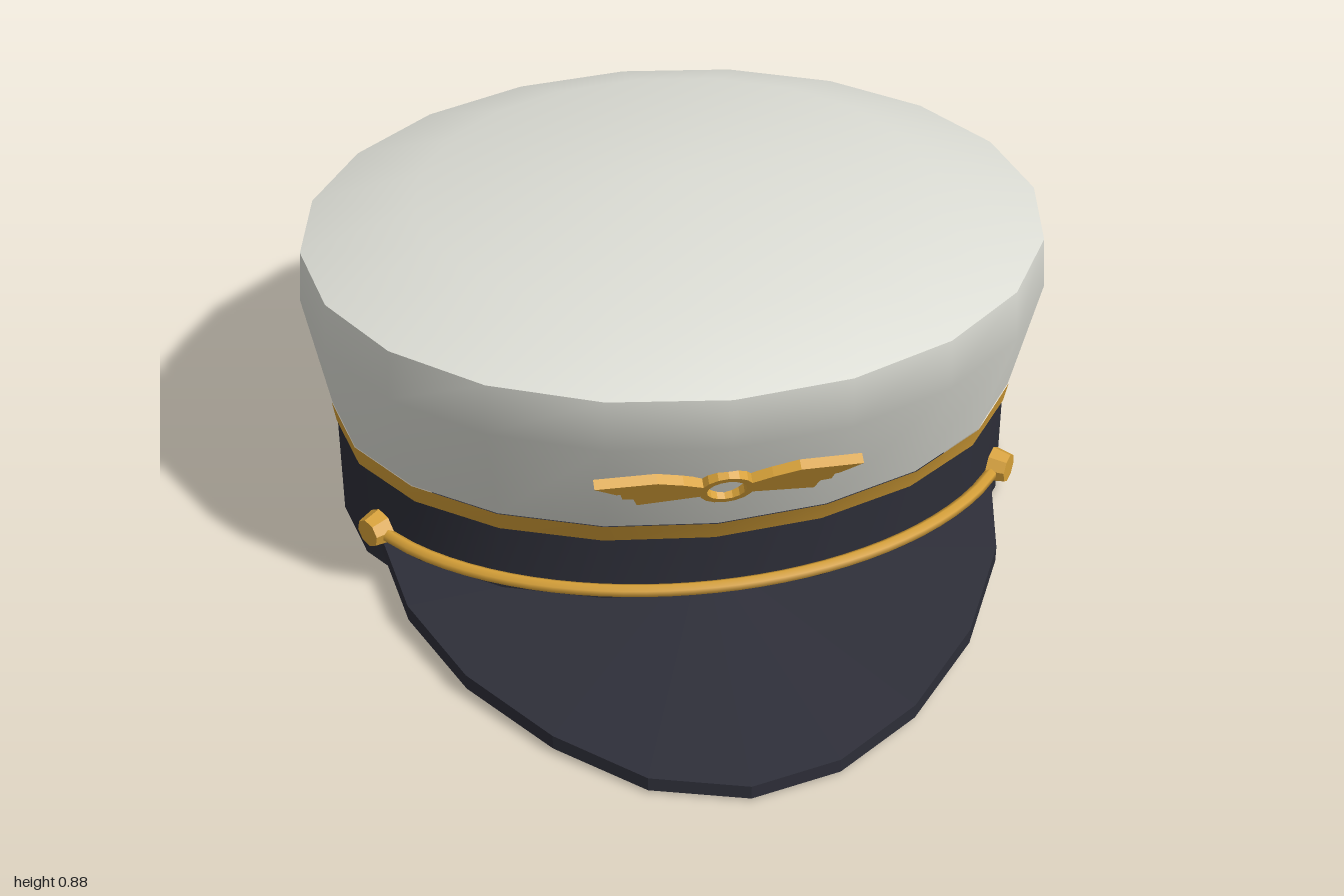
import * as THREE from 'three';

const SIDES = 20;
const CZ = -0.19; // centre of the oval head opening

// Smooth oval loft; each ring is [rx, rz, y, slope], slope tilting it up toward the front.
// An optional apex height closes the top.
function loft(rings, apex) {
  const pos = [], idx = [];
  for (const [rx, rz, y, slope] of rings) {
    for (let i = 0; i < SIDES; i++) {
      const a = (i / SIDES) * Math.PI * 2;
      const z = rz * Math.cos(a);
      pos.push(rx * Math.sin(a), y + slope * z, CZ + z);
    }
  }
  const last = (rings.length - 1) * SIDES;
  for (let k = 0; k < last; k += SIDES) {
    for (let i = 0; i < SIDES; i++) {
      const j = (i + 1) % SIDES;
      idx.push(k + i, k + j, k + SIDES + j, k + i, k + SIDES + j, k + SIDES + i);
    }
  }
  if (apex !== undefined) {
    pos.push(0, apex, CZ);
    for (let i = 0; i < SIDES; i++) idx.push(last + i, last + (i + 1) % SIDES, last + SIDES);
  }
  const g = new THREE.BufferGeometry();
  g.setAttribute('position', new THREE.Float32BufferAttribute(pos, 3));
  g.setIndex(idx);
  g.computeVertexNormals();
  return g;
}

// Thin domed plate, rising from its rim to the middle
function visorGeometry() {
  const outline = [
    [0.6, -0.1], [0.75, 0.06], [0.7, 0.32], [0.57, 0.59], [0.39, 0.81], [0.19, 0.95], [-0.02, 1],
    [-0.24, 0.94], [-0.43, 0.78], [-0.6, 0.56], [-0.71, 0.31], [-0.75, 0.06], [-0.6, -0.1],
  ];
  const top = outline.map(([x, z]) => [x, 0.04 + (1 - z) * 0.055, z]);
  const low = outline.map(([x, z]) => [x, 0.005 + (1 - z) * 0.045, z]);
  const topMid = [0, 0.115, 0.25], lowMid = [0, 0.04, 0.25];
  const pos = [];
  const tri = (...corners) => corners.forEach((c) => pos.push(...c));
  for (let i = 0; i < outline.length; i++) {
    const j = (i + 1) % outline.length;
    tri(topMid, top[j], top[i]);
    tri(lowMid, low[i], low[j]);
    tri(top[i], top[j], low[i]);
    tri(top[j], low[j], low[i]);
  }
  const g = new THREE.BufferGeometry();
  g.setAttribute('position', new THREE.Float32BufferAttribute(pos, 3));
  g.computeVertexNormals();
  return g;
}

// Winged ring badge, with a round hole
function badgeGeometry() {
  const wing = [
    [0.05, 0.025], [0.1, 0.05], [0.16, 0.073], [0.3, 0.075], [0.25, 0.036],
    [0.24, 0.034], [0.235, 0.01], [0.21, 0.004], [0.2, -0.03], [0.1, -0.022], [0.05, -0.018],
  ];
  const ring = new THREE.Shape();
  ring.absarc(0, 0, 0.062, 0, Math.PI * 2, false);
  const hole = new THREE.Path();
  hole.absarc(0, 0, 0.045, 0, Math.PI * 2, true);
  ring.holes.push(hole);
  const shapes = [ring];
  for (const s of [1, -1]) {
    shapes.push(new THREE.Shape(wing.map(([x, y]) => new THREE.Vector2(s * x, y))));
  }
  const g = new THREE.ExtrudeGeometry(shapes, { depth: 0.025, bevelEnabled: false, curveSegments: 8 });
  return g.translate(0, 0, -0.015);
}

export function createModel() {
  const group = new THREE.Group();
  const material = (name, color) => {
    const m = new THREE.MeshStandardMaterial({ color });
    m.name = name;
    return m;
  };
  const white = material('offWhiteCloth', 0xdedfd7);
  const navy = material('darkNavy', 0x2d2e38);
  const gold = material('gold', 0xd6a038);
  const add = (name, geometry, mat) => {
    const mesh = new THREE.Mesh(geometry, mat);
    mesh.name = name;
    group.add(mesh);
    return mesh;
  };

  // Head band and its flat underside
  add('headBand', loft([[0.825, 0.595, 0, 0], [0.825, 0.595, 0.27, 0]]), navy);
  const base = new THREE.CircleGeometry(1, SIDES).rotateX(Math.PI / 2);
  add('underside', base.scale(0.825, 1, 0.595).translate(0, 0, CZ), navy);

  // Gold trim, flared crown and domed top
  const trimTop = [0.836, 0.635, 0.322, 0.022];
  add('goldTrim', loft([[0.828, 0.598, 0.268, 0], trimTop]), gold);
  add('crownSide', loft([
    [0.834, 0.632, 0.322, 0.022],
    [0.89, 0.813, 0.627, 0.067],
    [0.88, 0.813, 0.757, 0.067],
  ]), white);
  add('crownTop', loft([[0.88, 0.813, 0.757, 0.067], [0.61, 0.58, 0.847, 0.065]], 0.885), white);

  add('visor', visorGeometry(), navy);

  // Chin strap around the front, ending at two side buttons
  const strapPoints = [];
  const end = 1.11;
  for (let i = 0; i <= 12; i++) {
    const a = -end + (i / 12) * 2 * end;
    strapPoints.push(new THREE.Vector3(0.845 * Math.sin(a), 0.135, CZ + 0.615 * Math.cos(a)));
  }
  const strapPath = new THREE.CatmullRomCurve3(strapPoints);
  add('chinStrap', new THREE.TubeGeometry(strapPath, 32, 0.016, 6), gold);

  const outward = new THREE.Vector3();
  for (const s of [1, -1]) {
    const button = add(s > 0 ? 'leftButton' : 'rightButton',
      new THREE.CylinderGeometry(0.036, 0.045, 0.045, 8).toNonIndexed(), gold);
    button.geometry.computeVertexNormals();
    button.position.set(s * 0.765, 0.137, 0.085);
    outward.set(s * 0.82, 0, 0.57);
    button.quaternion.setFromUnitVectors(THREE.Object3D.DEFAULT_UP, outward.normalize());
  }

  // Badge leaning with the front of the crown
  const badge = add('wingedBadge', badgeGeometry(), gold);
  badge.position.set(0, 0.52, 0.546);
  badge.rotation.x = Math.atan2(0.22, 0.41);

  return group;
}
